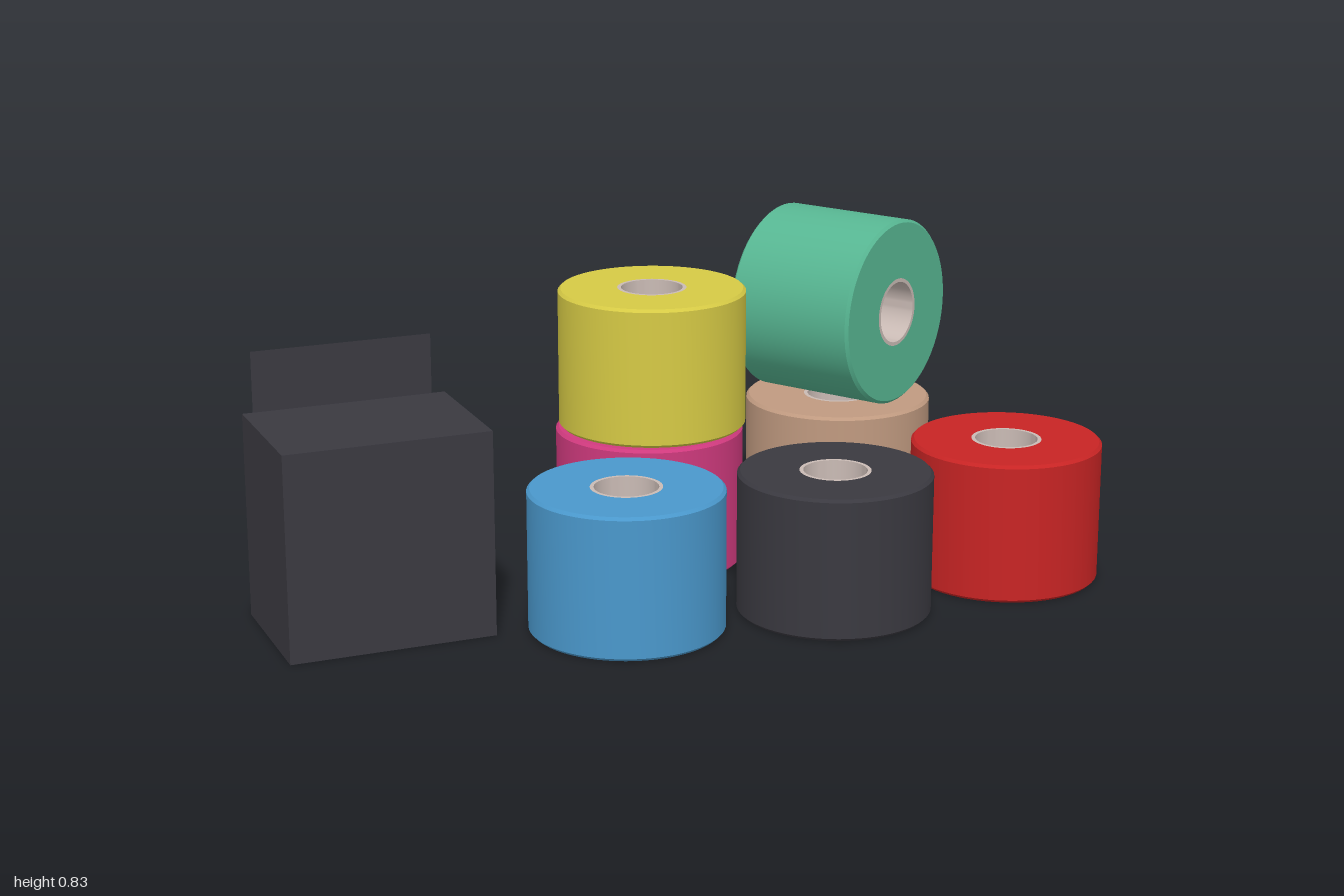
import * as THREE from 'three';
import { toCreasedNormals } from 'three/addons/utils/BufferGeometryUtils.js';

const R = 0.229, CORE = 0.084, HOLE = 0.075, H = 0.34, BEVEL = 0.007;

function material(name, color, side = THREE.FrontSide) {
  const m = new THREE.MeshStandardMaterial({ color, side });
  m.name = name;
  return m;
}

// Revolve a profile, keeping its rims crisp
function lathe(profile) {
  const pts = profile.map(([r, y]) => new THREE.Vector2(r, y));
  return toCreasedNormals(new THREE.LatheGeometry(pts, 64), 0.5);
}

export function createModel() {
  const group = new THREE.Group();
  group.name = 'tapeRollsAndBox';

  const blue = material('blue', 0x4a98cc);
  const charcoal = material('charcoal', 0x3a3940, THREE.DoubleSide);
  const red = material('red', 0xc82424);
  const pink = material('pink', 0xd03a7e);
  const yellow = material('yellow', 0xd6ca45);
  const tan = material('tan', 0xc09a80);
  const green = material('green', 0x57b692);
  const cardboard = material('coreGrey', 0xcabbb5);

  // Wound tape with bevelled rims, centred on its own middle
  const h = H / 2;
  const tapeGeo = lathe([
    [CORE, -h], [R - BEVEL, -h], [R, -h + BEVEL],
    [R, h - BEVEL], [R - BEVEL, h], [CORE, h],
  ]);
  // Hollow core lining
  const coreGeo = lathe([[CORE, h], [HOLE, h], [HOLE, -h], [CORE, -h]]);

  function addRoll(name, mat, x, y, z) {
    const roll = new THREE.Group();
    roll.name = name;
    const tape = new THREE.Mesh(tapeGeo, mat);
    tape.name = 'tape';
    const core = new THREE.Mesh(coreGeo, cardboard);
    core.name = 'core';
    roll.add(tape, core);
    roll.position.set(x, y, z);
    group.add(roll);
    return roll;
  }

  // Standing rolls
  addRoll('blueRoll', blue, -0.215, h, 0.195);
  addRoll('charcoalRoll', charcoal, 0.28, h, 0.265);
  addRoll('redRoll', red, 0.77, h, 0.195);
  addRoll('pinkRoll', pink, 0.022, h, -0.252);
  addRoll('yellowRoll', yellow, 0.035, 0.51, -0.265);
  addRoll('tanRoll', tan, 0.525, 0.198, -0.235);

  // Roll lying on its side on top of the tan one
  const lying = addRoll('greenRoll', green, 0.526, 0.6, -0.24);
  lying.rotation.set(Math.PI / 2, 0, -0.555);
  lying.rotation.order = 'YXZ';
  lying.rotation.set(Math.PI / 2, 0.555, 0);

  // Box with a raised flap along its back edge
  const box = new THREE.Mesh(new THREE.BoxGeometry(0.487, 0.49, 0.35), charcoal);
  box.name = 'box';
  box.position.set(-0.7565, 0.245, -0.04);
  const flap = new THREE.Mesh(new THREE.PlaneGeometry(0.43, 0.145), charcoal);
  flap.name = 'boxFlap';
  flap.position.set(-0.76, 0.5625, -0.214);
  group.add(box, flap);

  return group;
}
